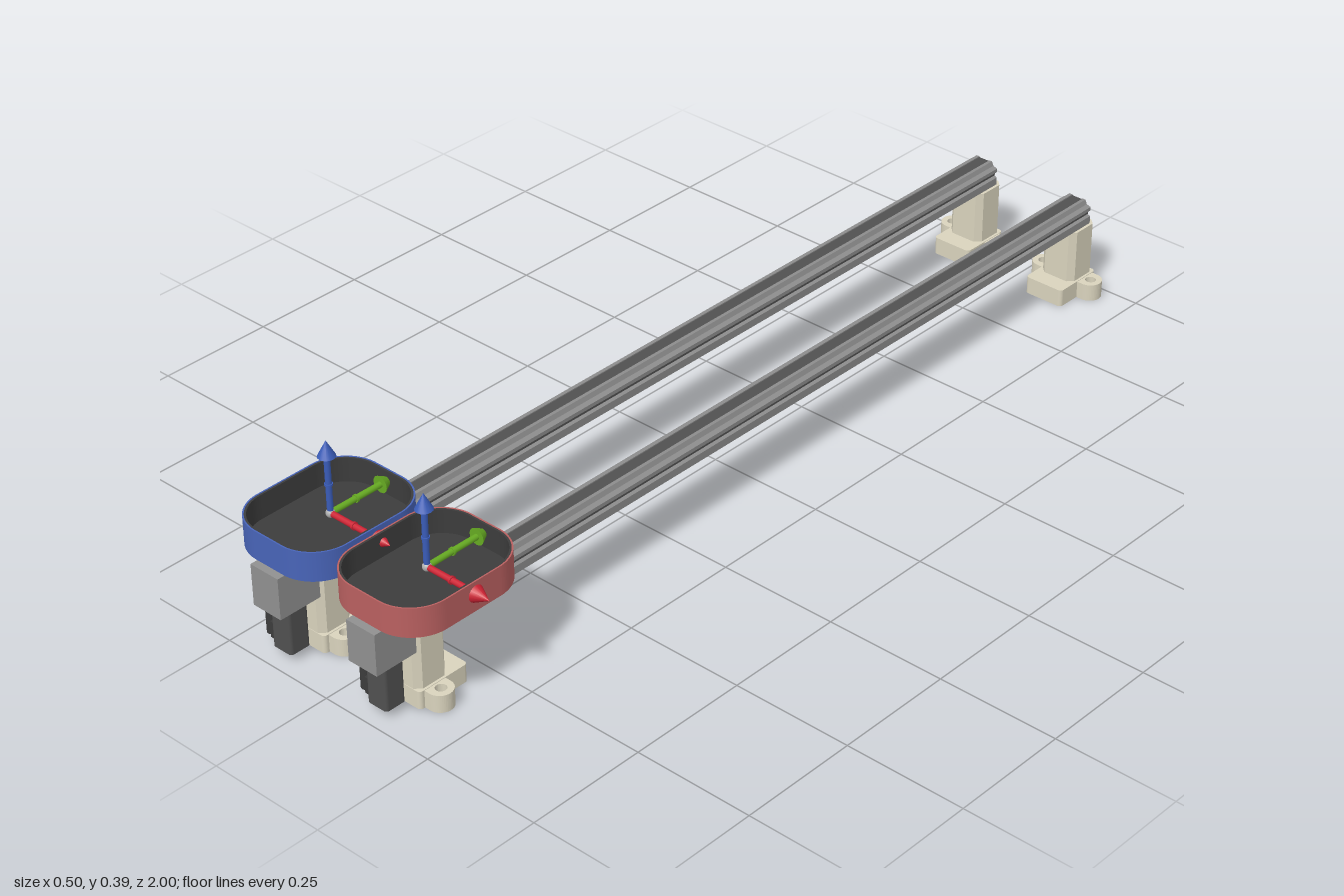
import * as THREE from 'three';

const mat = (color, side = THREE.FrontSide) =>
  new THREE.MeshStandardMaterial({ color, side });
const M = {
  beige: mat(0xd9d3bd), rail: mat(0x8c8c8c), dark: mat(0x505050), black: mat(0x3c3c3c),
  head: mat(0x909090), silver: mat(0xb0b0b0), red: mat(0xcc2233), green: mat(0x66aa22),
  blue: mat(0x3a5cb8), panRed: mat(0xb96060), panBlue: mat(0x4864b8),
};

function add(parent, name, geo, material, x = 0, y = 0, z = 0) {
  const m = new THREE.Mesh(geo, material);
  m.name = name;
  m.position.set(x, y, z);
  parent.add(m);
  return m;
}
const box = (w, h, d) => new THREE.BoxGeometry(w, h, d);

// Rounded rectangle centred on the origin
function roundRect(w, d, r, T = THREE.Shape) {
  const s = new T(), a = w / 2, b = d / 2;
  s.moveTo(-a + r, -b).lineTo(a - r, -b);
  s.absarc(a - r, -b + r, r, -Math.PI / 2, 0);
  s.lineTo(a, b - r).absarc(a - r, b - r, r, 0, Math.PI / 2);
  s.lineTo(-a + r, b).absarc(-a + r, b - r, r, Math.PI / 2, Math.PI);
  s.lineTo(-a, -b + r).absarc(-a + r, -b + r, r, Math.PI, Math.PI * 1.5);
  return s;
}

// Outline lying in the ground plane, raised to a height
function rise(shape, h, curveSegments = 12) {
  const g = new THREE.ExtrudeGeometry(shape, { depth: h, bevelEnabled: false, curveSegments });
  return g.rotateX(-Math.PI / 2);
}

// Footing with bolt lugs; its outer end sits at local z = 0 and it runs inward along -z
function makeFoot(name) {
  const g = new THREE.Group();
  g.name = name;
  add(g, 'footBase', rise(roundRect(0.09, 0.115, 0.008), 0.037), M.beige, 0, 0, -0.0575);
  for (const s of [-1, 1]) {
    const lug = new THREE.Shape();
    lug.moveTo(0.04, -0.025).lineTo(0.058, -0.025);
    lug.absarc(0.058, 0, 0.025, -Math.PI / 2, Math.PI / 2);
    lug.lineTo(0.04, 0.025);
    lug.holes.push(new THREE.Path().absarc(0.06, 0, 0.011, 0, Math.PI * 2, true));
    const m = add(g, 'boltLug', rise(lug, 0.036), M.beige, 0, 0, -0.036);
    if (s < 0) { m.rotation.y = Math.PI; }
  }
  // Chamfered upright
  const c = new THREE.Shape();
  const a = 0.04, b = 0.0375, k = 0.012;
  c.setFromPoints([[-a, -b + k], [-a + k, -b], [a - k, -b], [a, -b + k], [a, b - k],
    [a - k, b], [-a + k, b], [-a, b - k]].map(p => new THREE.Vector2(...p)));
  add(g, 'upright', rise(c, 0.15), M.beige, 0, 0, -0.0385);
  return g;
}

// Grooved aluminium beam
function makeRail() {
  const g = new THREE.Group();
  g.name = 'rail';
  const half = [[0.034, 0.15], [0.034, 0.166], [0.027, 0.169], [0.027, 0.176], [0.034, 0.179],
    [0.034, 0.187], [0.024, 0.19], [0.02, 0.199], [0.013, 0.199], [0.013, 0.193]];
  const pts = half.concat(half.map(([x, y]) => [-x, y]).reverse());
  const s = new THREE.Shape(pts.map(p => new THREE.Vector2(...p)));
  add(g, 'beam', new THREE.ExtrudeGeometry(s, { depth: 1.9, bevelEnabled: false }), M.rail, 0, 0, -0.985);
  add(g, 'beltCover', box(0.026, 0.004, 1.9), M.dark, 0, 0.195, -0.035);
  add(g, 'underside', box(0.06, 0.002, 1.9), M.dark, 0, 0.1495, -0.035);
  for (const x of [-0.0275, 0.0275])
    add(g, 'sideGroove', box(0.002, 0.006, 1.9), M.dark, x, 0.1725, -0.035);
  return g;
}

// Gear head with hanging motor and plug
function makeDrive() {
  const g = new THREE.Group();
  g.name = 'drive';
  add(g, 'driveHead', box(0.069, 0.086, 0.093), M.head, 0, 0.157, 0.9535);
  add(g, 'motor', rise(roundRect(0.048, 0.046, 0.007), 0.096), M.dark, 0, 0.018, 0.951);
  add(g, 'plugBlock', box(0.018, 0.034, 0.026), M.black, -0.03, 0.04, 0.951);
  add(g, 'plug', new THREE.CylinderGeometry(0.0105, 0.0105, 0.052, 16), M.black, -0.049, 0.05, 0.951);
  add(g, 'plugCap', new THREE.CylinderGeometry(0.009, 0.009, 0.014, 16), M.silver, -0.049, 0.083, 0.951);
  const neck = add(g, 'plugElbow', new THREE.CylinderGeometry(0.009, 0.009, 0.02, 16), M.black, -0.041, 0.034, 0.951);
  neck.rotation.z = Math.PI / 2;
  return g;
}

// Shallow tray with a coloured skirt
function makeTray(skirtMat) {
  const g = new THREE.Group();
  g.name = 'tray';
  const ring = (w, d, r, t) => {
    const s = roundRect(w, d, r);
    s.holes.push(roundRect(w - 2 * t, d - 2 * t, r - t, THREE.Path));
    return s;
  };
  add(g, 'skirt', rise(ring(0.228, 0.286, 0.08, 0.003), 0.06, 16), skirtMat, 0, 0.203, 0);
  add(g, 'lining', rise(ring(0.222, 0.28, 0.077, 0.004), 0.0595, 16), M.black, 0, 0.203, 0);
  add(g, 'floor', rise(roundRect(0.222, 0.28, 0.077), 0.009, 16), M.black, 0, 0.204, 0);
  return g;
}

// Three axis arrows from a common origin
function makeArrows() {
  const g = new THREE.Group();
  g.name = 'axisArrows';
  const dirs = [['xArrow', M.red, 0, -Math.PI / 2], ['upArrow', M.blue, 0, 0], ['backArrow', M.green, -Math.PI / 2, 0]];
  for (const [name, m, rx, rz] of dirs) {
    const a = new THREE.Group();
    a.name = name;
    add(a, 'shaft', new THREE.CylinderGeometry(0.006, 0.006, 0.12, 12), m, 0, 0.06, 0);
    add(a, 'collar', new THREE.CylinderGeometry(0.008, 0.008, 0.004, 12), m, 0, 0.06, 0);
    add(a, 'tip', new THREE.ConeGeometry(0.017, 0.032, 16), m, 0, 0.134, 0);
    a.rotation.set(rx, 0, rz);
    g.add(a);
  }
  add(g, 'origin', new THREE.SphereGeometry(0.009, 12, 8), M.silver);
  return g;
}

function makeUnit(name, x, skirtMat) {
  const g = new THREE.Group();
  g.name = name;
  const front = makeFoot('frontFoot');
  front.position.z = 0.915;
  const back = makeFoot('backFoot');
  back.position.z = -1;
  back.rotation.y = Math.PI;
  const tray = makeTray(skirtMat);
  tray.position.z = 0.844;
  const arrows = makeArrows();
  arrows.position.set(0, 0.242, 0.842);
  g.add(front, back, makeRail(), makeDrive(), tray, arrows);
  add(g, 'carriage', box(0.066, 0.012, 0.14), M.dark, 0, 0.199, 0.85);
  g.position.x = x;
  return g;
}

export function createModel() {
  const model = new THREE.Group();
  model.name = 'twinLinearAxes';
  model.add(makeUnit('rightAxis', -0.14, M.panBlue), makeUnit('leftAxis', 0.10, M.panRed));
  return model;
}
